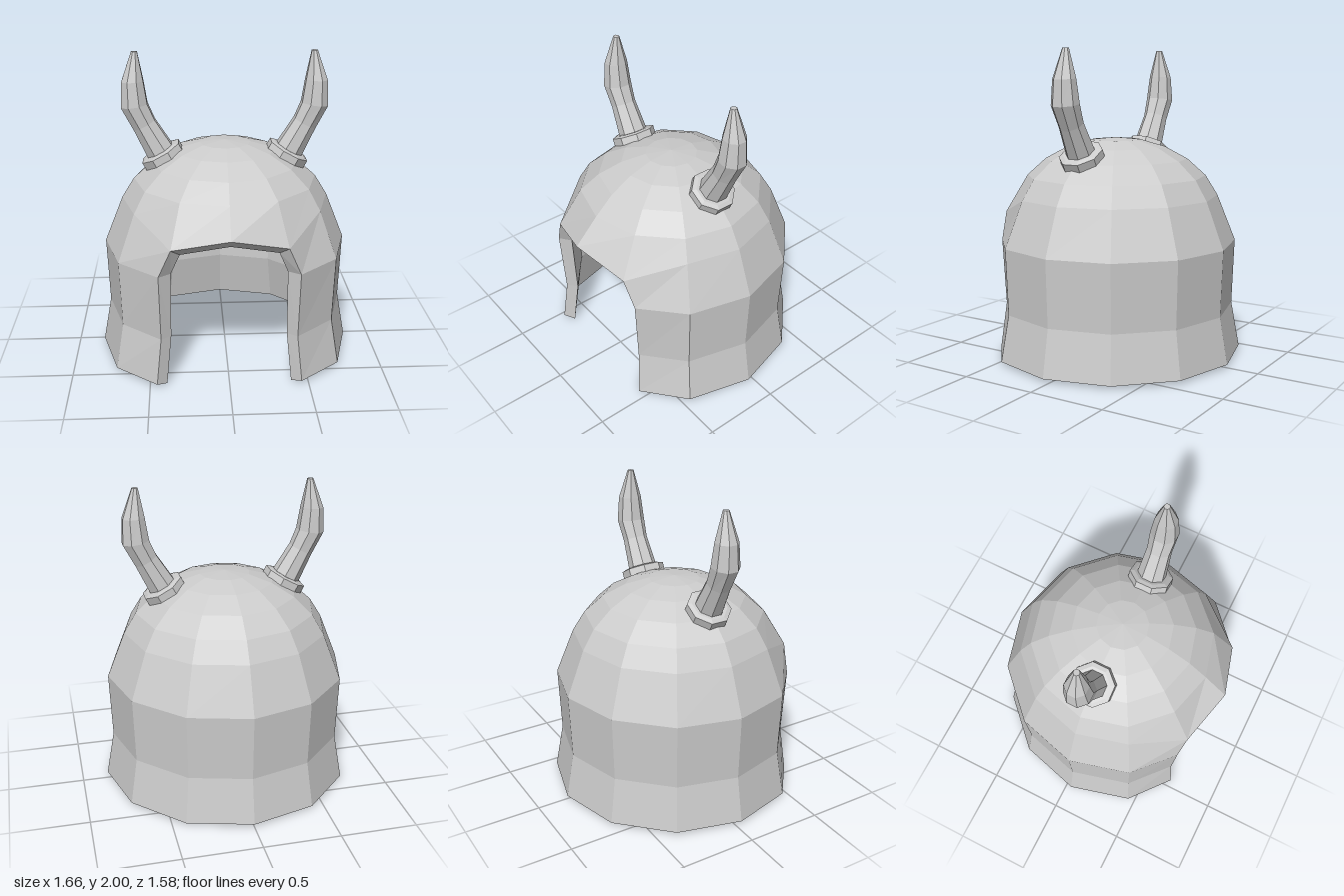
import * as THREE from 'three';

const CENTRE_Z = 0.04;
const SIDES = 12;
const grey = () => new THREE.MeshStandardMaterial({ color: 0xcccccc, flatShading: true });
const V = (x, y, z) => new THREE.Vector3(x, y, z);

// Collects flat quads, dropping collapsed triangles
function facets() {
  const pts = [];
  const tri = (a, b, c) => {
    if (a.distanceTo(b) > 1e-6 && b.distanceTo(c) > 1e-6 && c.distanceTo(a) > 1e-6) pts.push(a, b, c);
  };
  return {
    tri,
    quad(a, b, c, d) { tri(a, b, c); tri(a, c, d); },
    mesh(name) {
      const g = new THREE.BufferGeometry().setFromPoints(pts);
      g.computeVertexNormals();
      const m = new THREE.Mesh(g, grey());
      m.name = name;
      return m;
    },
  };
}

// Ring profiles [radius, y] from rim to crown
const OUTER = [[0.83, 0.02], [0.775, 0.32], [0.79, 0.75], [0.67, 1.05], [0.59, 1.18], [0.468, 1.29], [0.32, 1.37], [0.165, 1.415], [0, 1.43]];
const INNER = [[0.77, 0], [0.71, 0.32], [0.725, 0.75], [0.61, 1.02], [0.535, 1.14], [0.42, 1.24], [0.29, 1.31], [0.15, 1.35], [0, 1.365]];

// Edge of the face opening: four points up the jamb, then the brow peak
const OUTER_EDGE = [[0.455, 0.02, 0.675], [0.425, 0.32, 0.645], [0.433, 0.75, 0.667], [0.355, 0.93, 0.69]];
const INNER_EDGE = [[0.393, 0, 0.625], [0.362, 0.32, 0.595], [0.357, 0.75, 0.612], [0.3, 0.885, 0.64]];
const OUTER_PEAK = [0, 1.02, 0.785];
const INNER_PEAK = [0, 0.97, 0.735];

// Grid of points [row][column]; column 0 faces the front
function shellGrid(profile, edge, peak) {
  return profile.map(([r, y], i) => Array.from({ length: SIDES }, (_, j) => {
    if (i === 3 && j === 0) return V(...peak);
    if (i < 4 && j === 1) return V(...edge[i]);
    if (i < 4 && j === SIDES - 1) return V(-edge[i][0], edge[i][1], edge[i][2]);
    const t = (j / SIDES) * Math.PI * 2;
    return V(r * Math.sin(t), y, CENTRE_Z + r * Math.cos(t));
  }));
}

function helmetShell() {
  const out = shellGrid(OUTER, OUTER_EDGE, OUTER_PEAK);
  const inn = shellGrid(INNER, INNER_EDGE, INNER_PEAK);
  const rows = OUTER.length - 1;
  const wrap = (j) => (j + SIDES) % SIDES;
  // The two front columns are open below the brow
  const solid = (i, j) => i >= 0 && !(i < 3 && (wrap(j) === 0 || wrap(j) === SIDES - 1));
  const f = facets();
  for (let i = 0; i < rows; i++) {
    for (let j = 0; j < SIDES; j++) {
      if (!solid(i, j)) continue;
      const k = wrap(j + 1);
      const corners = (g) => [g[i][j], g[i][k], g[i + 1][k], g[i + 1][j]];
      const o = corners(out), n = corners(inn);
      f.quad(...o);
      f.quad(n[1], n[0], n[3], n[2]);
      // Wall thickness along every open edge
      const rim = (a, b) => f.quad(o[b], o[a], n[a], n[b]);
      if (!solid(i - 1, j)) rim(0, 1);
      if (!solid(i, j + 1)) rim(1, 2);
      if (!solid(i, j - 1)) rim(3, 0);
    }
  }
  return f.mesh('helmetShell');
}

// Eight-sided loft through sections [x, y, radius, tilt in degrees]
function loft(name, sections) {
  const N = 8;
  const rings = sections.map(([x, y, r, deg]) => {
    const a = THREE.MathUtils.degToRad(deg);
    return Array.from({ length: N }, (_, j) => {
      const t = ((j + 0.5) / N) * Math.PI * 2;
      const u = r * Math.sin(t);
      return V(x + u * Math.cos(a), y - u * Math.sin(a), r * Math.cos(t));
    });
  });
  const mid = ([x, y]) => V(x, y, 0);
  const last = rings.length - 1;
  const f = facets();
  for (let j = 0; j < N; j++) {
    const k = (j + 1) % N;
    for (let i = 0; i < last; i++) f.quad(rings[i][j], rings[i][k], rings[i + 1][k], rings[i + 1][j]);
    f.tri(rings[0][k], rings[0][j], mid(sections[0]));
    f.tri(rings[last][j], rings[last][k], mid(sections[last]));
  }
  return f.mesh(name);
}

// Horn with its collar, on the +x side
function horn(name) {
  const g = new THREE.Group();
  g.name = name;
  g.add(loft('hornCollar', [[0.388, 1.308, 0.143, 29], [0.414, 1.356, 0.143, 29], [0.418, 1.364, 0.115, 29]]));
  g.add(loft('hornSpike', [
    [0.41, 1.35, 0.095, 29],
    [0.512, 1.535, 0.08, 27],
    [0.572, 1.66, 0.09, 8],
    [0.58, 1.815, 0.074, 3],
    [0.563, 2.0, 0.02, 0],
  ]));
  g.position.z = CENTRE_Z;
  return g;
}

export function createModel() {
  const model = new THREE.Group();
  model.name = 'hornedHelmet';
  model.add(helmetShell());
  const left = horn('leftHorn');
  const right = horn('rightHorn');
  right.rotation.y = Math.PI;
  model.add(left, right);
  return model;
}
